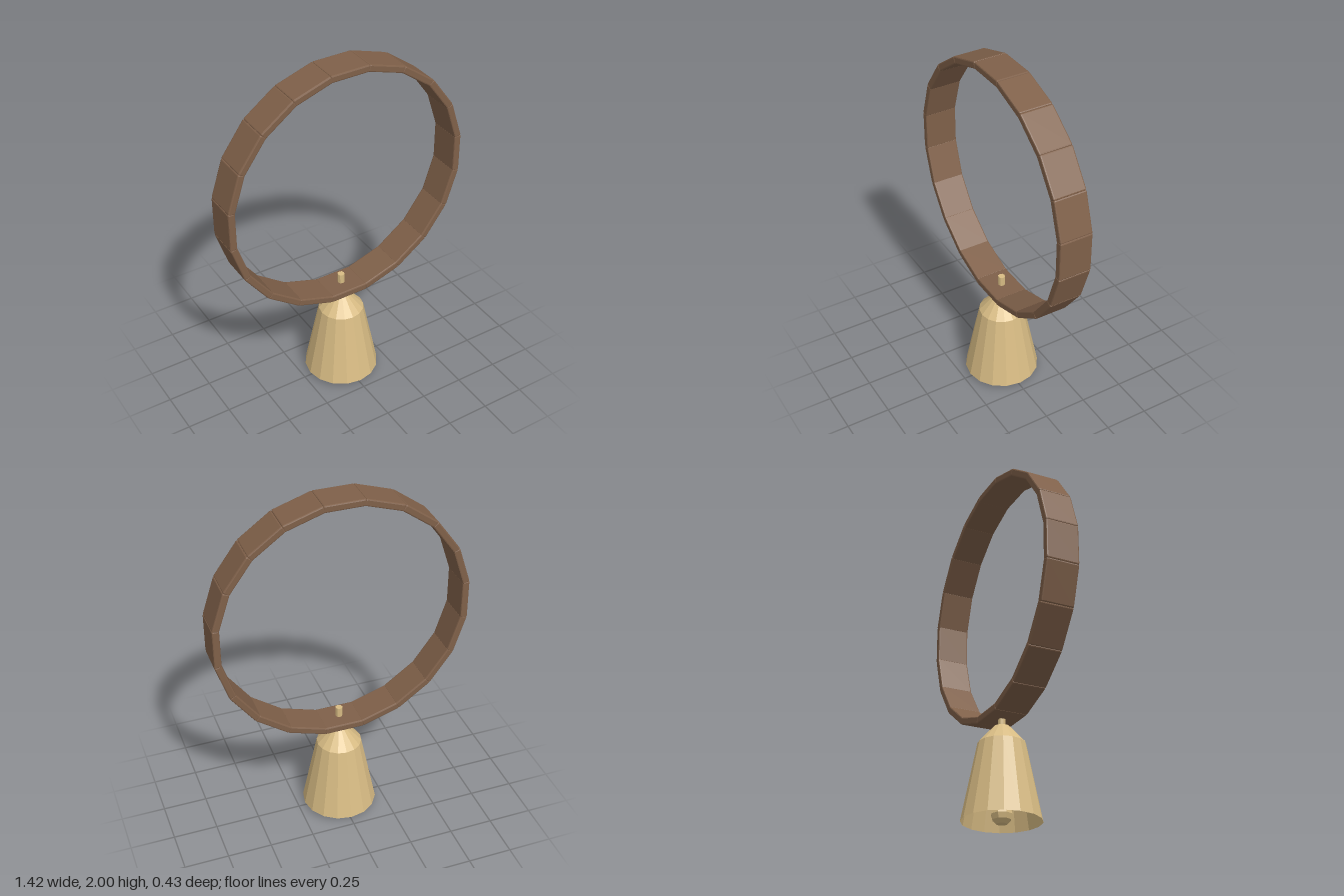
import * as THREE from 'three';
import { RoundedBoxGeometry } from 'three/addons/geometries/RoundedBoxGeometry.js';

export function createModel() {
  const model = new THREE.Group();
  model.name = 'hoopWithBell';

  const wood = new THREE.MeshStandardMaterial({ color: 0x7f6049, flatShading: true });
  const brass = new THREE.MeshStandardMaterial({ color: 0xd8bc84, flatShading: true, side: THREE.DoubleSide });

  const add = (parent, name, geometry, material, y = 0) => {
    const mesh = new THREE.Mesh(geometry, material);
    mesh.name = name;
    mesh.position.y = y;
    parent.add(mesh);
    return mesh;
  };

  // Hoop: twenty chamfered slats standing in a ring
  const SLATS = 20, OUTER = 0.712, THICK = 0.04, DEPTH = 0.186;
  const length = 2 * OUTER * Math.tan(Math.PI / SLATS);
  const slatGeometry = new RoundedBoxGeometry(length, THICK, DEPTH, 1, 0.007);
  const hoop = new THREE.Group();
  hoop.name = 'hoop';
  hoop.position.y = 2 - OUTER;
  model.add(hoop);
  for (let i = 0; i < SLATS; i++) {
    const a = (i / SLATS) * Math.PI * 2;
    const r = OUTER - THICK / 2;
    const slat = add(hoop, 'hoopSlat', slatGeometry, wood);
    slat.position.set(-Math.sin(a) * r, Math.cos(a) * r, 0);
    slat.rotation.z = a;
  }

  // Bell: open-bottomed faceted shell
  const bell = new THREE.Group();
  bell.name = 'bell';
  model.add(bell);
  const profile = [[0.213, 0.02], [0.128, 0.44], [0.042, 0.535], [0, 0.535]]
    .map(([r, y]) => new THREE.Vector2(r, y));
  add(bell, 'bellShell', new THREE.LatheGeometry(profile, 16), brass);

  // Stem: passes through the hoop and carries the clapper inside the bell
  add(bell, 'stem', new THREE.CylinderGeometry(0.02, 0.02, 0.59, 8), brass, 0.378);
  add(bell, 'clapper', new THREE.SphereGeometry(0.058, 8, 6), brass, 0.058);

  return model;
}
